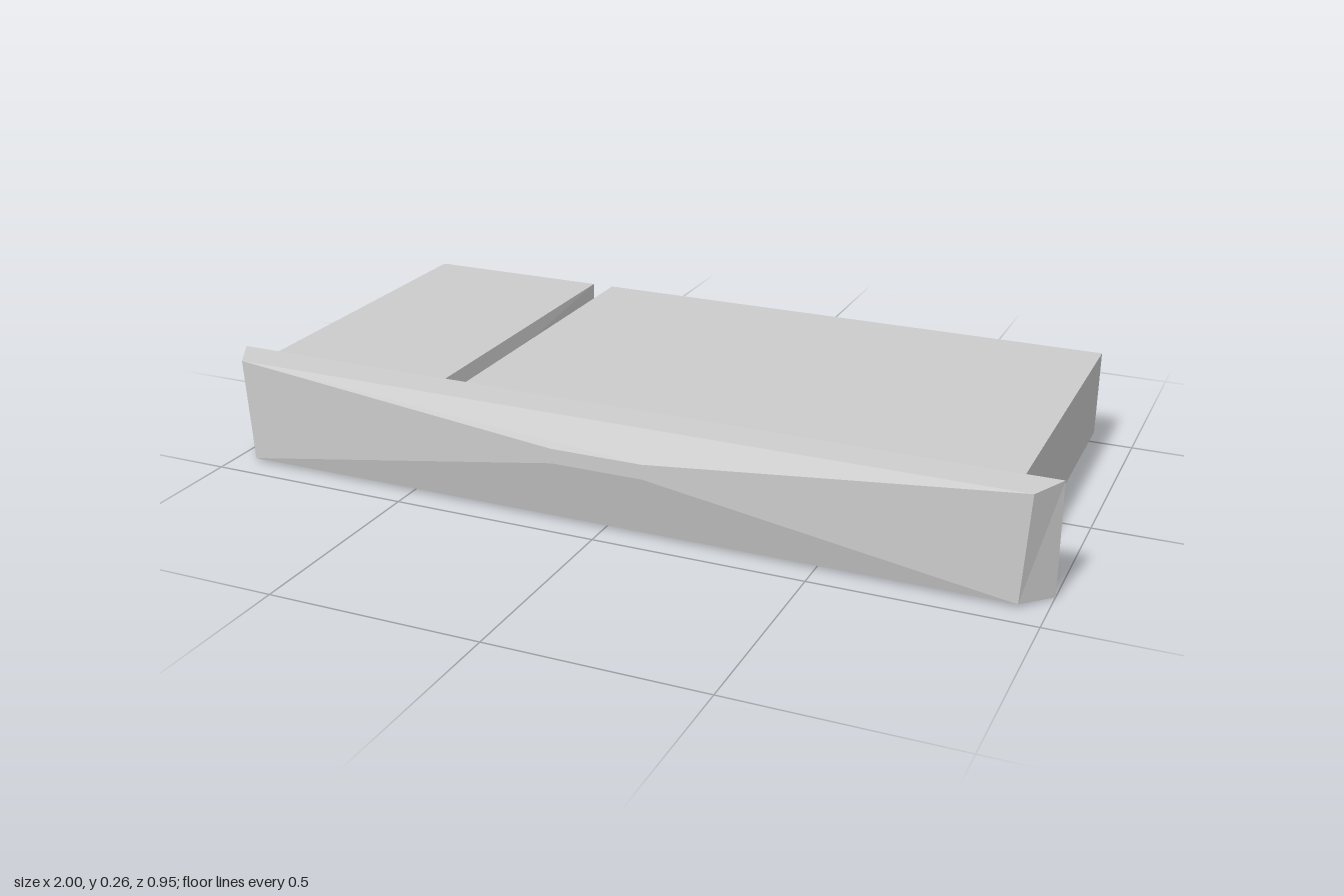
import * as THREE from 'three';

// Lofts matching cross-sections (counter-clockwise seen from +z), ordered front to back.
// caps lists the convex polygons closing both ends, as profile indices.
function loft(name, sections, caps) {
  const pos = [];
  const tri = (a, b, c) => pos.push(...a, ...b, ...c);
  const n = sections[0].length;
  for (let s = 0; s < sections.length - 1; s++) {
    const f = sections[s], r = sections[s + 1];
    for (let i = 0; i < n; i++) {
      const j = (i + 1) % n;
      tri(f[i], r[i], r[j]);
      tri(f[i], r[j], f[j]);
    }
  }
  const front = sections[0], back = sections[sections.length - 1];
  for (const cap of caps) {
    for (let k = 1; k < cap.length - 1; k++) {
      const [a, b, c] = [cap[0], cap[k], cap[k + 1]];
      tri(front[a], front[b], front[c]);
      tri(back[a], back[c], back[b]);
    }
  }
  const geometry = new THREE.BufferGeometry();
  geometry.setAttribute('position', new THREE.Float32BufferAttribute(pos, 3));
  geometry.computeVertexNormals();
  const material = new THREE.MeshStandardMaterial({ color: 0xcccccc, flatShading: true });
  const mesh = new THREE.Mesh(geometry, material);
  mesh.name = name;
  return mesh;
}

// Slab section with a V groove: separate bottom and top depths, and a groove floor point.
function slabSection(xBottom, xTop, yBottom, yTop, zBottom, zTop, floorY, floorZ) {
  return [
    [xBottom, yBottom, zBottom], [-0.47, yBottom, zBottom], [-0.415, yBottom, zBottom], [0.91, yBottom, zBottom],
    [0.91, yTop, zTop], [-0.415, yTop, zTop], [-0.457, floorY, floorZ], [-0.47, yTop, zTop], [xTop, yTop, zTop],
  ];
}

// Symmetric four-cornered panel section.
function panelSection(xBottom, xTop, yBottom, yTop, z) {
  return [[-xBottom, yBottom, z], [xBottom, yBottom, z], [xTop, yTop, z], [-xTop, yTop, z]];
}

export function createModel() {
  const group = new THREE.Group();
  group.name = 'slabWithFrontPanel';

  // Grooved slab, its front top edge bevelled towards the panel
  group.add(loft('groovedSlab', [
    slabSection(-0.97, -0.95, 0.025, 0.175, 0.35, 0.35, 0.165, 0.35),
    slabSection(-0.97, -0.94, 0.026, 0.245, 0.325, 0.325, 0.165, 0.325),
    slabSection(-0.94, -0.94, 0.04, 0.245, -0.465, -0.475, 0.045, -0.43),
  ], [[0, 1, 7, 8], [2, 3, 4, 5], [1, 6, 7], [2, 5, 6], [1, 2, 6]]));

  // Front panel with bevelled rim and faceted bulge
  group.add(loft('frontPanel', [
    panelSection(0.11, 0.11, 0.155, 0.19, 0.475),
    panelSection(0.94, 0.955, 0.01, 0.26, 0.44),
    panelSection(1, 1, 0, 0.265, 0.36),
    panelSection(0.97, 0.97, 0.025, 0.245, 0.349),
  ], [[0, 1, 2, 3]]));

  return group;
}
